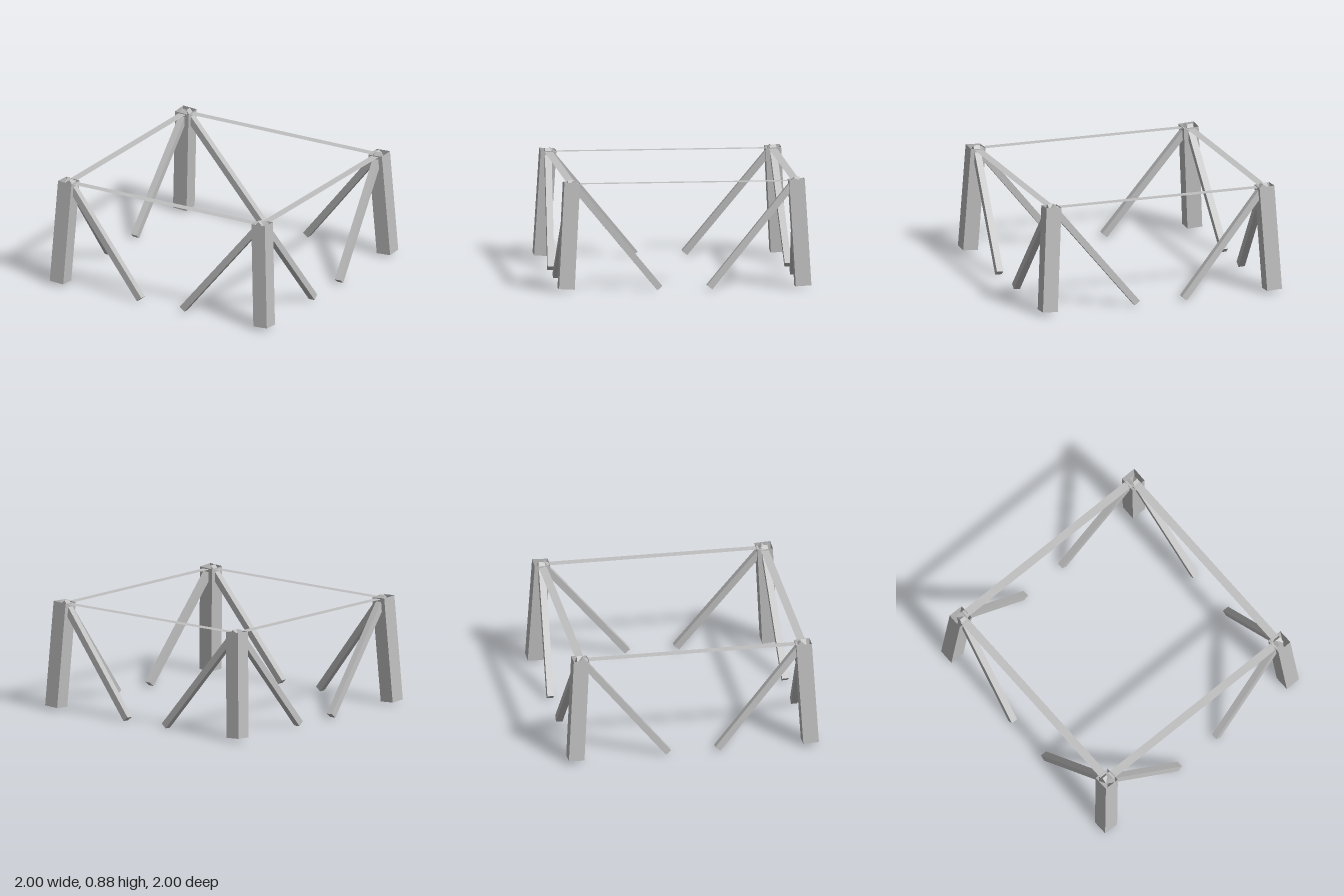
import * as THREE from 'three';

const UP = new THREE.Vector3(0, 1, 0);

// Place a mesh whose long side is y so that it runs from a to b
function span(mesh, a, b) {
  mesh.position.addVectors(a, b).multiplyScalar(0.5);
  mesh.quaternion.setFromUnitVectors(UP, b.clone().sub(a).normalize());
  return mesh;
}

// Square pipe with thin walls and open ends
function openPipe(width, length) {
  const r = width / Math.SQRT2;
  const g = new THREE.CylinderGeometry(r, r, length, 4, 1, true).toNonIndexed();
  g.rotateY(Math.PI / 4);
  g.computeVertexNormals();
  return g;
}

export function createModel() {
  const model = new THREE.Group();
  model.name = 'tableFrame';
  const steel = new THREE.MeshStandardMaterial({ color: 0xc0c0c0, side: THREE.DoubleSide });
  steel.name = 'light grey';

  for (const sx of [-1, 1]) {
    for (const sz of [-1, 1]) {
      const corner = new THREE.Group();
      corner.name = 'corner' + (sz > 0 ? 'Front' : 'Back') + (sx > 0 ? 'Left' : 'Right');
      const top = new THREE.Vector3(0.89 * sx, 0.862, 0.89 * sz);
      const foot = new THREE.Vector3(0.9375 * sx, 0.023, 0.9375 * sz);

      // Leaning hollow leg
      const leg = new THREE.Mesh(openPipe(0.124, top.distanceTo(foot)), steel);
      leg.name = 'leg';
      corner.add(span(leg, foot, top));

      // Two sloping braces, one along each side of the frame
      const braceTop = top.clone().setY(0.86);
      for (const alongX of [true, false]) {
        const end = alongX
          ? new THREE.Vector3(0.197 * sx, 0.019, 0.939 * sz)
          : new THREE.Vector3(0.939 * sx, 0.019, 0.197 * sz);
        const brace = new THREE.Mesh(
          new THREE.BoxGeometry(0.053, braceTop.distanceTo(end), 0.053), steel);
        brace.name = alongX ? 'crossBrace' : 'sideBrace';
        corner.add(span(brace, end, braceTop));
      }
      model.add(corner);
    }
  }

  // Flat rails joining the leg tops
  for (let i = 0; i < 4; i++) {
    const plate = new THREE.PlaneGeometry(1.71, 0.066).rotateX(-Math.PI / 2);
    plate.translate(0, 0.85, 0.887);
    const rail = new THREE.Mesh(plate, steel);
    rail.name = 'topRail';
    rail.rotation.y = i * Math.PI / 2;
    model.add(rail);
  }
  return model;
}
